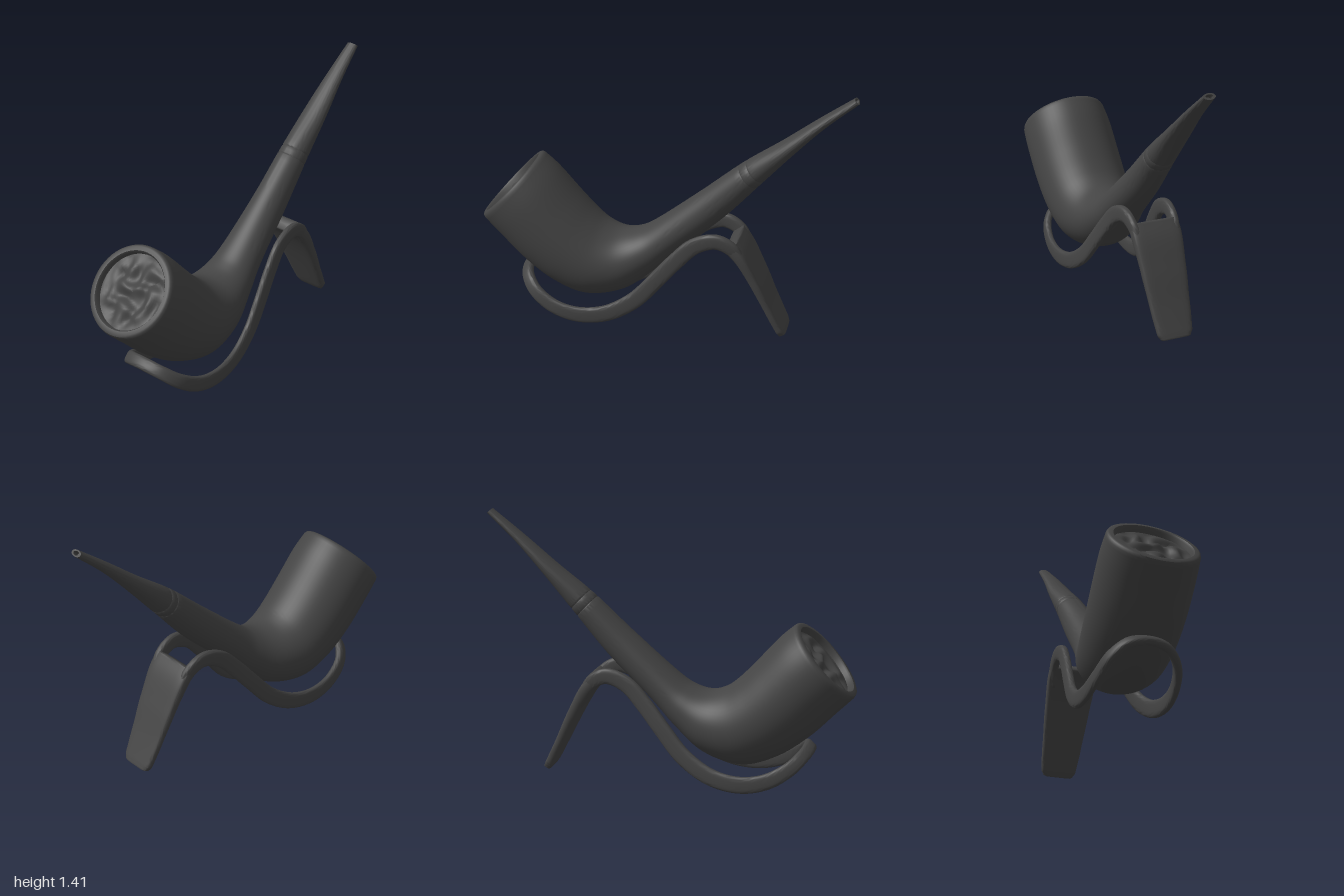
import * as THREE from 'three';
import { toCreasedNormals } from 'three/addons/utils/BufferGeometryUtils.js';

const material = new THREE.MeshStandardMaterial({ color: 0x444444 });
const V = (x, y, z = 0) => new THREE.Vector3(x, y, z);
const spline = (pts) => new THREE.CatmullRomCurve3(pts, false, 'centripetal');

// One cross-section: a superellipse around c spanned by the half axes u and v
function ring(c, u, v, power = 2, sides = 56) {
  const f = (a) => Math.sign(a) * Math.abs(a) ** (2 / power);
  return Array.from({ length: sides }, (_, j) => {
    const a = (j / sides) * Math.PI * 2;
    return c.clone().addScaledVector(u, f(Math.cos(a))).addScaledVector(v, f(Math.sin(a)));
  });
}

// Skin over rings of equal size, closed at both ends
function loft(rings, crease) {
  const n = rings[0].length, m = rings.length;
  const pts = rings.flat(), index = [];
  for (let i = 0; i < m - 1; i++) {
    for (let j = 0; j < n; j++) {
      const a = i * n + j, b = i * n + (j + 1) % n;
      index.push(a, b, a + n, b, b + n, a + n);
    }
  }
  for (const [row, flip] of [[0, true], [m - 1, false]]) {
    const centre = rings[row].reduce((s, p) => s.add(p), V(0, 0)).divideScalar(n);
    const k = pts.push(centre) - 1;
    for (let j = 0; j < n; j++) {
      const a = row * n + j, b = row * n + (j + 1) % n;
      index.push(k, flip ? b : a, flip ? a : b);
    }
  }
  const g = new THREE.BufferGeometry().setFromPoints(pts);
  g.setIndex(index);
  return toCreasedNormals(g, crease);
}

// Strap along a path; rows are [x, y, z, half height, half width]
function strap(rows, steps, power) {
  const path = spline(rows.map((r) => V(r[0], r[1], r[2])));
  const size = new THREE.CatmullRomCurve3(rows.map((r) => V(r[3], r[4])), false, 'catmullrom', 0.3);
  const rings = [];
  let last = null;
  for (let i = 0; i <= steps; i++) {
    const t = i / steps, d = path.getTangent(t), s = size.getPoint(t);
    let u = V(-d.y, d.x);
    if (u.length() < 0.02) u = last.clone();
    u.normalize();
    if (last && u.dot(last) < 0) u.negate();
    last = u.clone();
    const v = d.clone().cross(u).normalize();
    const c = path.getPoint(t);
    const add = (k, shift) => rings.push(ring(c.clone().addScaledVector(d, shift),
      u.clone().multiplyScalar(s.x * k), v.clone().multiplyScalar(s.y * k), power, 28));
    if (i === 0) add(0.85, -0.005);
    add(1, 0);
    if (i === steps) add(0.85, 0.005);
  }
  return loft(rings, 0.9);
}

export function createModel() {
  const group = new THREE.Group();
  const add = (name, geometry) => {
    const mesh = new THREE.Mesh(geometry, material);
    mesh.name = name;
    group.add(mesh);
    return mesh;
  };

  // Pipe sections: upper x, y, lower x, y, half width
  const sections = [
    [-0.68, 0.89, -1.0, 0.53, 0.236], [-0.59, 0.81, -0.9, 0.43, 0.245],
    [-0.47, 0.675, -0.76, 0.29, 0.245], [-0.38, 0.58, -0.6, 0.175, 0.238],
    [-0.31, 0.525, -0.41, 0.112, 0.222], [-0.23, 0.5, -0.2, 0.165, 0.19],
    [-0.14, 0.52, -0.04, 0.295, 0.15], [-0.04, 0.585, 0.1, 0.44, 0.12],
    [0.2, 0.79, 0.33, 0.66, 0.094], [0.42, 0.985, 0.52, 0.88, 0.08],
    [0.62, 1.135, 0.695, 1.085, 0.069], [0.8, 1.28, 0.842, 1.245, 0.05],
    [0.975, 1.415, 1.0, 1.39, 0.032],
  ];
  const curve = (pts) => new THREE.CatmullRomCurve3(pts, false, 'catmullrom', 0.5);
  const upper = curve(sections.map((s) => V(s[0], s[1], s[4])));
  const lower = curve(sections.map((s) => V(s[2], s[3], s[4])));
  const at = (t) => {
    const a = upper.getPoint(t), b = lower.getPoint(t), w = a.z;
    a.z = b.z = 0;
    const u = a.clone().sub(b).multiplyScalar(0.5);
    return { c: a.add(b).multiplyScalar(0.5), u, v: V(0, 0, w), axis: V(u.y, -u.x).normalize() };
  };
  const pipeRing = (t, scale, inward = 0) => {
    const s = at(t);
    return ring(s.c.addScaledVector(s.axis, inward), s.u.multiplyScalar(scale), s.v.multiplyScalar(scale));
  };

  // Two thin grooves where the mouthpiece meets the stem
  const grooves = [0.742, 0.757];
  const ts = Array.from({ length: 100 }, (_, i) => 0.012 + (i / 99) * 0.988);
  grooves.forEach((g) => ts.push(g - 0.0018, g, g + 0.0018));
  ts.sort((a, b) => a - b);
  const rings = [
    pipeRing(0, 0.82, 0.07), pipeRing(0, 0.83, 0.01), pipeRing(0, 0.86),
    pipeRing(0, 0.94), pipeRing(0, 0.98, 0.005),
    ...ts.map((t) => pipeRing(t, grooves.includes(t) ? 0.955 : 1)),
    pipeRing(1, 0.6), pipeRing(1, 0.55, -0.03),
  ];
  add('pipe', loft(rings, 0.7));

  // Uneven tobacco filling just below the rim
  const filling = new THREE.RingGeometry(0.001, 0.2, 56, 20);
  const p = filling.attributes.position;
  for (let i = 0; i < p.count; i++) {
    const x = p.getX(i), y = p.getY(i);
    const fade = 1 - (Math.hypot(x, y) / 0.2) ** 4;
    const bump = Math.sin(38 * x + 2.5 * Math.sin(27 * y)) + Math.sin(45 * y + 2 * Math.sin(33 * x + 1));
    p.setZ(i, 0.009 * fade * bump);
  }
  filling.computeVertexNormals();
  const rim = at(0);
  const tobacco = add('tobacco', filling);
  tobacco.quaternion.setFromUnitVectors(V(0, 0, 1), rim.axis.clone().negate());
  tobacco.position.copy(rim.c).addScaledVector(rim.axis, 0.035);

  // Stand: one strap runs down a side, round under the bowl and back up
  const half = [
    [0.455, 0.445, 0.1, 0.028, 0.02], [0.39, 0.535, 0.114, 0.038, 0.021],
    [0.31, 0.568, 0.121, 0.042, 0.021], [0.2, 0.53, 0.128, 0.044, 0.021],
    [0.1, 0.43, 0.142, 0.045, 0.021], [0, 0.31, 0.16, 0.045, 0.021],
    [-0.12, 0.175, 0.18, 0.046, 0.02], [-0.27, 0.083, 0.199, 0.046, 0.019],
    [-0.43, 0.056, 0.208, 0.045, 0.018], [-0.57, 0.085, 0.2, 0.042, 0.019],
    [-0.68, 0.15, 0.168, 0.038, 0.021], [-0.74, 0.205, 0.1, 0.035, 0.022],
  ];
  const mirrored = half.map(([x, y, z, h, w]) => [x, y, -z, h, w]).reverse();
  add('standArms', strap([...half, [-0.757, 0.223, 0, 0.035, 0.022], ...mirrored], 160, 3));

  // Broad rear leg joining both arms
  add('standLeg', strap([
    [0.39, 0.537, 0, 0.038, 0.132], [0.44, 0.475, 0, 0.034, 0.133],
    [0.52, 0.33, 0, 0.028, 0.122], [0.6, 0.162, 0, 0.023, 0.108],
    [0.66, 0.04, 0, 0.022, 0.095], [0.674, 0.014, 0, 0.02, 0.08],
  ], 40, 5));

  return group;
}
